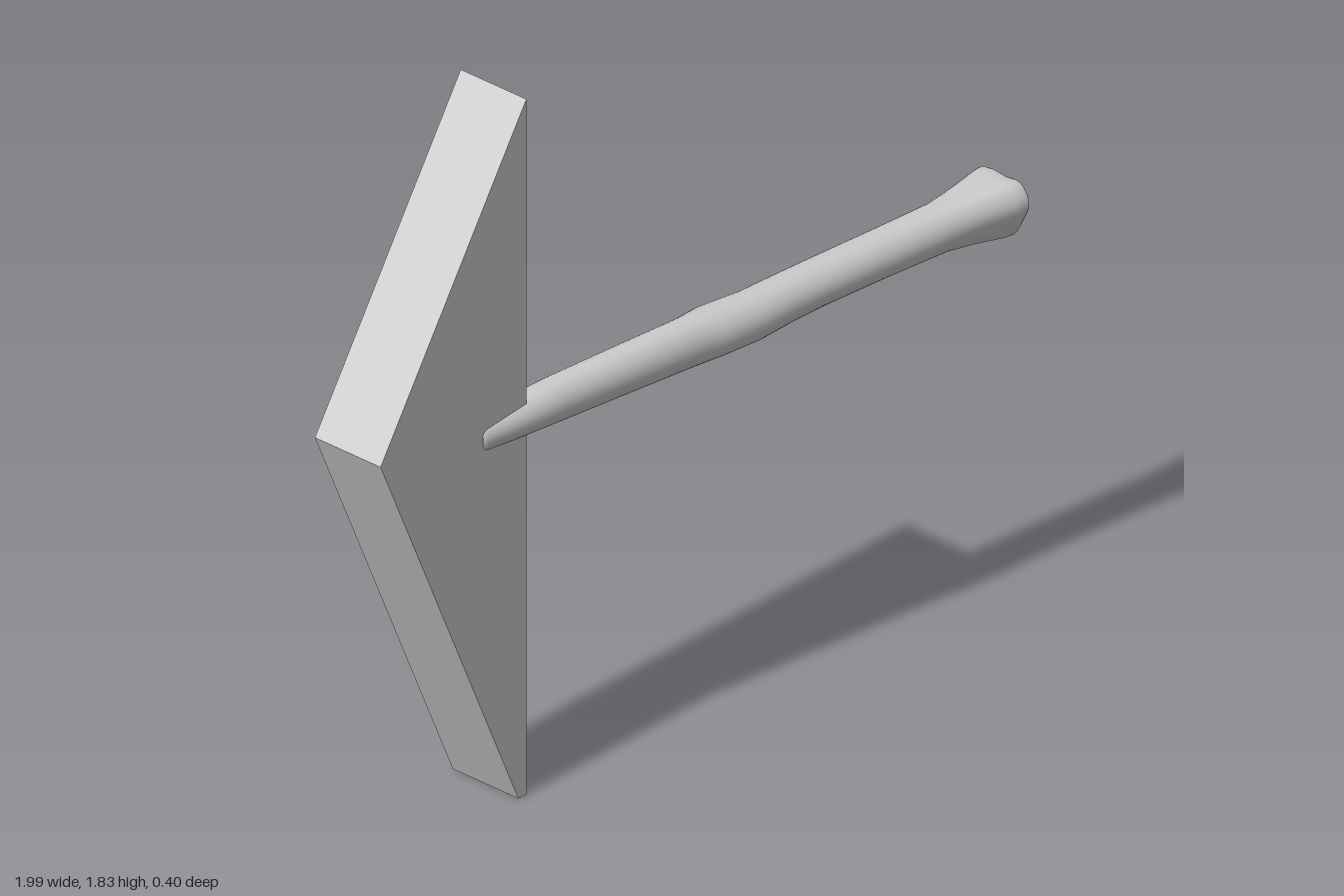
import * as THREE from 'three';

const material = () => new THREE.MeshStandardMaterial({ color: 0xcccccc });
const SIDES = 36;

// Knuckled outline of the shaft's thick end, in unit (z, y), one point per 30 degrees
const knuckle = new THREE.CatmullRomCurve3([
  [1, 0.25], [0.93, 0.65], [0.65, 0.98], [0.1, 0.96], [-0.5, 1.0], [-0.85, 0.72],
  [-1, 0.15], [-0.9, -0.35], [-0.4, -0.72], [0.15, -0.98], [0.5, -0.9], [0.82, -0.3],
].map(([z, y]) => new THREE.Vector3(z, y, 0)), true);

// Sections of the shaft: x, bottom, top, back, front, knuckle amount
const sections = [
  [-0.655, 0.952, 1.025, -0.075, 0.008, 0],
  [-0.645, 0.945, 1.03, -0.085, 0.016, 0],
  [-0.51, 0.938, 1.036, -0.073, 0.028, 0],
  [-0.4, 0.935, 1.045, -0.062, 0.039, 0],
  [-0.2, 0.932, 1.049, -0.045, 0.06, 0],
  [0, 0.929, 1.054, -0.025, 0.081, 0],
  [0.08, 0.925, 1.05, -0.038, 0.094, 0],
  [0.2, 0.926, 1.05, -0.016, 0.105, 0],
  [0.3, 0.933, 1.05, -0.01, 0.107, 0],
  [0.4, 0.938, 1.051, -0.003, 0.114, 0],
  [0.6, 0.94, 1.055, 0.015, 0.131, 0],
  [0.79, 0.94, 1.059, 0.032, 0.15, 0.2],
  [0.87, 0.932, 1.066, 0.03, 0.167, 0.6],
  [0.95, 0.921, 1.073, 0.021, 0.19, 0.95],
  [0.978, 0.92, 1.073, 0.016, 0.197, 1],
  [0.988, 0.926, 1.068, 0.021, 0.192, 1],
];

function ring([x, y0, y1, z0, z1, k]) {
  const points = [];
  for (let i = 0; i < SIDES; i++) {
    const a = (i / SIDES) * Math.PI * 2;
    const p = knuckle.getPoint(i / SIDES);
    const u = THREE.MathUtils.lerp(Math.cos(a), p.x, k);
    const v = THREE.MathUtils.lerp(Math.sin(a), p.y, k);
    points.push([x, (y0 + y1) / 2 + (v * (y1 - y0)) / 2, (z0 + z1) / 2 + (u * (z1 - z0)) / 2]);
  }
  return points;
}

// Skin through a list of rings, closed around
function loft(rings) {
  const index = [];
  for (let r = 0; r < rings.length - 1; r++) {
    for (let i = 0; i < SIDES; i++) {
      const j = (i + 1) % SIDES;
      const a = r * SIDES + i, b = a + SIDES;
      const c = r * SIDES + j, d = c + SIDES;
      index.push(a, b, c, b, d, c);
    }
  }
  const geometry = new THREE.BufferGeometry();
  geometry.setAttribute('position', new THREE.Float32BufferAttribute(rings.flat(2), 3));
  geometry.setIndex(index);
  geometry.computeVertexNormals();
  return geometry;
}

// Rings shrinking to a point, dished or domed by moving x
function endRings(rim, depth) {
  const center = [0, 1, 2].map((k) => rim.reduce((s, p) => s + p[k], 0) / SIDES);
  return [1, 0.75, 0.4, 0.001].map((s) => rim.map((p) => [
    p[0] + depth * (1 - s * s),
    center[1] + (p[1] - center[1]) * s,
    center[2] + (p[2] - center[2]) * s,
  ]));
}

export function createModel() {
  const model = new THREE.Group();
  const add = (geometry, name) => {
    const mesh = new THREE.Mesh(geometry, material());
    mesh.name = name;
    model.add(mesh);
  };

  // Thick triangular blade
  const outline = new THREE.Shape([
    [-1, 1.06], [-0.535, 0], [-0.508, 0], [-0.508, 1.83],
  ].map(([x, y]) => new THREE.Vector2(x, y)));
  const blade = new THREE.ExtrudeGeometry(outline, { depth: 0.207, bevelEnabled: false });
  blade.translate(0, 0, -0.202);
  add(blade, 'blade');

  // Bone-like shaft with its two ends
  const rings = sections.map(ring);
  add(loft(rings), 'shaft');
  add(loft(endRings(rings[rings.length - 1], -0.018)), 'knuckleEnd');
  add(loft(endRings(rings[0], -0.003).reverse()), 'buriedEnd');

  return model;
}
